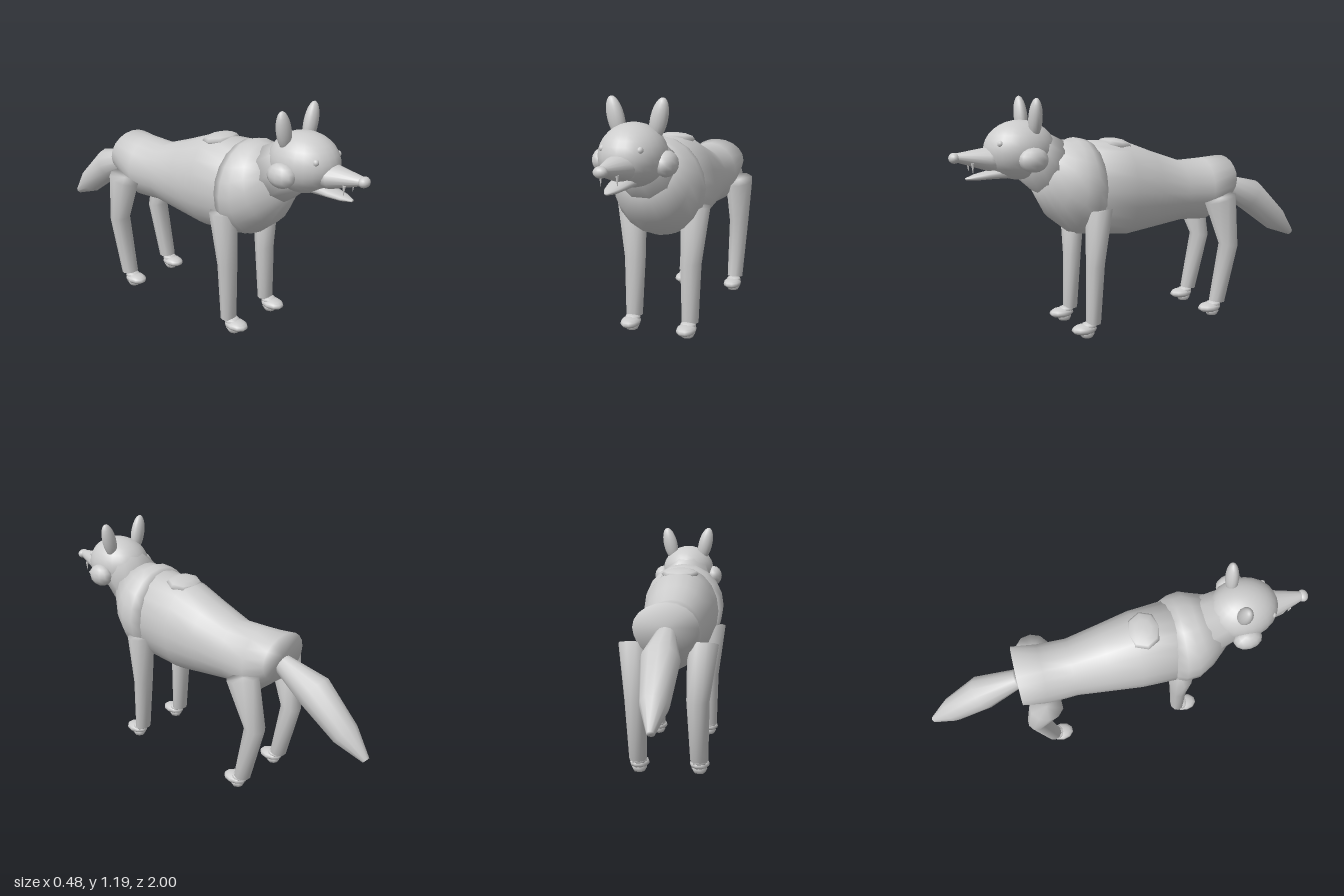
import * as THREE from 'three';

const fur = new THREE.MeshStandardMaterial({ color: 0xcccccc });
fur.name = 'light grey fur';

// Skin elliptical rings, closed at both ends. Ring: [x, y, z, half width, half height, tilt in degrees].
function loft(name, rings, sides = 16) {
  const pos = [], idx = [];
  for (const [x, y, z, w, h, tilt] of rings) {
    const t = THREE.MathUtils.degToRad(tilt);
    for (let j = 0; j < sides; j++) {
      const a = (j / sides) * Math.PI * 2, v = Math.sin(a) * h;
      pos.push(x + Math.cos(a) * w, y + v * Math.cos(t), z + v * Math.sin(t));
    }
  }
  const first = rings[0], last = rings[rings.length - 1];
  const start = rings.length * sides, end = start + 1, top = start - sides;
  pos.push(first[0], first[1], first[2], last[0], last[1], last[2]);
  for (let j = 0; j < sides; j++) {
    const k = (j + 1) % sides;
    for (let i = 0; i < top; i += sides) {
      idx.push(i + j, i + k, i + k + sides, i + j, i + k + sides, i + j + sides);
    }
    idx.push(start, k, j, end, top + j, top + k);
  }
  const geo = new THREE.BufferGeometry();
  geo.setAttribute('position', new THREE.Float32BufferAttribute(pos, 3));
  geo.setIndex(idx);
  geo.computeVertexNormals();
  const mesh = new THREE.Mesh(geo, fur);
  mesh.name = name;
  return mesh;
}

function ball(name, x, y, z, rx, ry, rz, w = 16, h = 12) {
  const mesh = new THREE.Mesh(new THREE.SphereGeometry(1, w, h), fur);
  mesh.name = name;
  mesh.position.set(x, y, z);
  mesh.scale.set(rx, ry, rz);
  return mesh;
}

// Upright torso ring from its top and bottom heights
const slice = (z, top, bottom, w) => [0, (top + bottom) / 2, z, w, (top - bottom) / 2, 0];

export function createModel() {
  const model = new THREE.Group();
  model.name = 'wolf';

  // Torso, chest and neck
  model.add(loft('body', [
    slice(-0.49, 0.85, 0.62, 0.155),
    slice(-0.36, 0.845, 0.51, 0.152),
    slice(-0.21, 0.84, 0.52, 0.147),
    slice(-0.04, 0.90, 0.497, 0.17),
    slice(0.12, 0.962, 0.476, 0.192),
    slice(0.38, 0.975, 0.505, 0.205),
  ], 20));
  model.add(loft('chest', [
    slice(0.29, 0.965, 0.51, 0.2),
    slice(0.34, 0.98, 0.5, 0.222),
    [0, 0.755, 0.405, 0.224, 0.235, -5],
    [0, 0.79, 0.47, 0.19, 0.195, -17],
    [0, 0.855, 0.535, 0.14, 0.14, -25],
  ], 20));
  model.add(loft('neck', [
    [0, 0.85, 0.515, 0.148, 0.15, -25],
    [0, 0.93, 0.63, 0.13, 0.13, -25],
  ], 10));
  const hump = ball('shoulderHump', 0, 0.945, 0.16, 0.1, 0.03, 0.085, 8, 6);
  hump.rotation.x = -0.15;
  model.add(hump);

  // Head
  const head = new THREE.Group();
  head.name = 'head';
  model.add(head);
  head.add(ball('skull', 0, 0.942, 0.66, 0.15, 0.142, 0.173, 24, 16));
  head.add(loft('snout', [
    [0, 0.91, 0.77, 0.078, 0.062, -3],
    [0, 0.908, 0.82, 0.071, 0.056, -3],
    [0, 0.922, 0.97, 0.022, 0.02, -3],
  ]));
  head.add(ball('nose', 0, 0.92, 0.974, 0.032, 0.025, 0.026));
  head.add(loft('lowerJaw', [
    [0, 0.842, 0.72, 0.06, 0.032, 5],
    [0, 0.832, 0.82, 0.05, 0.02, 5],
    [0, 0.825, 0.88, 0.035, 0.015, 5],
    [0, 0.82, 0.925, 0.01, 0.005, 5],
  ], 12));

  for (const s of [1, -1]) {
    const side = s > 0 ? 'left' : 'right';
    head.add(ball(side + 'Eye', s * 0.087, 0.983, 0.78, 0.015, 0.016, 0.016, 12, 8));
    head.add(ball(side + 'Cheek', s * 0.15, 0.908, 0.645, 0.05, 0.058, 0.072, 12, 8));
    const ear = ball(side + 'Ear', s * 0.103, 1.095, 0.615, 0.04, 0.098, 0.032);
    ear.rotation.z = -s * 0.24;
    head.add(ear);
    const fang = new THREE.Mesh(new THREE.ConeGeometry(0.008, 0.05, 8), fur);
    fang.name = side + 'Fang';
    fang.rotation.x = Math.PI;
    fang.position.set(s * 0.038, 0.87, 0.9);
    head.add(fang);

    // Legs run from hip to ankle
    model.add(loft(side + 'FrontLeg', [
      [s * 0.165, 0.65, 0.325, 0.075, 0.066, 90],
      [s * 0.147, 0.37, 0.34, 0.055, 0.046, 90],
      [s * 0.149, 0.075, 0.355, 0.044, 0.037, 90],
    ], 10));
    model.add(loft(side + 'HindLeg', [
      [s * 0.165, 0.645, -0.38, 0.075, 0.088, 105],
      [s * 0.147, 0.387, -0.447, 0.055, 0.053, 82],
      [s * 0.149, 0.08, -0.378, 0.044, 0.043, 82],
    ], 10));

    // Paws with a pointed pad underneath
    for (const [end, z] of [['Front', 0.405], ['Hind', -0.332]]) {
      model.add(ball(side + end + 'Paw', s * 0.148, 0.05, z, 0.049, 0.027, 0.065, 10, 8));
      model.add(ball(side + end + 'Ankle', s * 0.148, 0.066, z - 0.025, 0.04, 0.018, 0.04, 10, 6));
      model.add(ball(side + end + 'Pad', s * 0.148, 0.03, z - 0.015, 0.039, 0.03, 0.04, 8, 4));
    }
  }

  // Tail
  model.add(loft('tail', [
    [0, 0.695, -0.49, 0.05, 0.05, 160],
    [0, 0.615, -0.68, 0.09, 0.09, 147],
    [0, 0.46, -0.865, 0.066, 0.07, 140],
    [0, 0.368, -0.985, 0.018, 0.019, 140],
  ], 12));

  return model;
}
